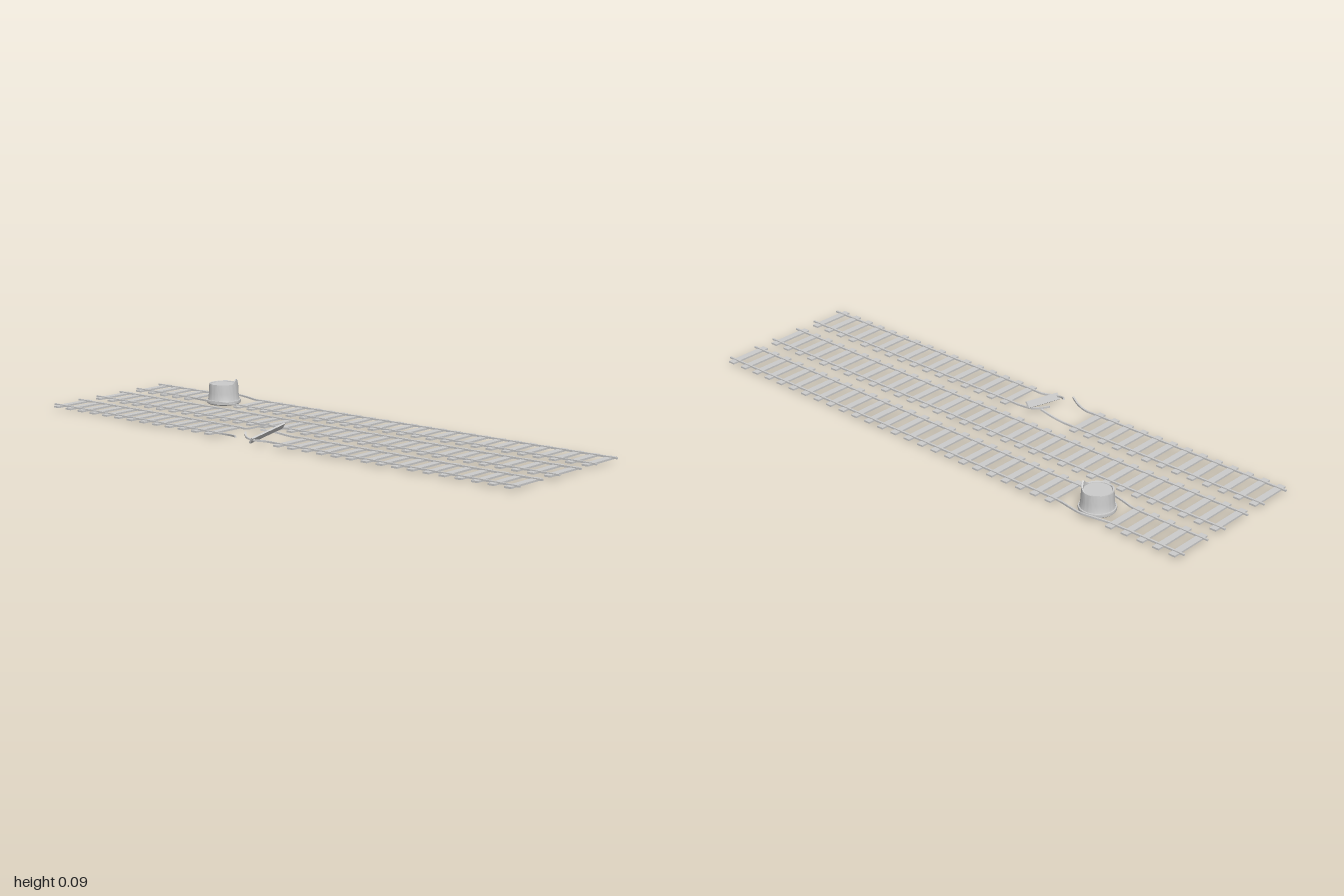
import * as THREE from 'three';
import { toCreasedNormals } from 'three/addons/utils/BufferGeometryUtils.js';

const material = new THREE.MeshStandardMaterial({ color: 0xcccccc });
const GAUGE = 0.0575;      // half the distance between rails
const RAIL_Y = 0.0155;     // height of the rail centre line
const TIE = new THREE.BoxGeometry(0.024, 0.006, 0.161);
const TIES = 33;

function part(name, geometry, parent) {
  const mesh = new THREE.Mesh(geometry, material);
  mesh.name = name;
  parent.add(mesh);
  return mesh;
}

// Rectangular bar swept along a smooth path of [x, y, z] points, kept upright
function railGeometry(points, w = 0.006, h = 0.006) {
  const curve = new THREE.CatmullRomCurve3(points.map(p => new THREE.Vector3(...p)), false, 'centripetal');
  const n = points.length > 2 ? 48 : 1;
  const pos = [], idx = [];
  for (let i = 0; i <= n; i++) {
    const p = curve.getPoint(i / n), t = curve.getTangent(i / n);
    const side = new THREE.Vector3(-t.z, 0, t.x).normalize();
    const up = new THREE.Vector3().crossVectors(side, t).normalize();
    for (const [s, u] of [[-1, -1], [1, -1], [1, 1], [-1, 1]]) {
      const v = p.clone().addScaledVector(side, s * w / 2).addScaledVector(up, u * h / 2);
      pos.push(v.x, v.y, v.z);
    }
    if (i === n) break;
    for (let k = 0; k < 4; k++) {
      const a = i * 4 + k, b = i * 4 + (k + 1) % 4;
      idx.push(a, a + 4, b, b, a + 4, b + 4);
    }
  }
  const e = n * 4;
  idx.push(0, 1, 2, 0, 2, 3, e, e + 2, e + 1, e, e + 3, e + 2);
  const g = new THREE.BufferGeometry();
  g.setAttribute('position', new THREE.Float32BufferAttribute(pos, 3));
  g.setIndex(idx);
  return toCreasedNormals(g, 0.6);
}

// One track: ties (with some left out) and its rails, centred on z
function track(name, z, missing, rails) {
  const group = new THREE.Group();
  group.name = name;
  group.position.z = z;
  for (let i = 0; i < TIES; i++) {
    if (missing.includes(i)) continue;
    part('tie', TIE, group).position.set(-0.97 + i * 1.94 / (TIES - 1), 0.012, 0);
  }
  rails.forEach(points => part('rail', railGeometry(points), group));
  return group;
}

// Height of the broken rim by angle, with a tall splinter on the left side
function rimHeight(a) {
  const peak = (at, before, after, h) => {
    const d = a - at;
    return h * Math.max(0, 1 - (d < 0 ? -d / before : d / after));
  };
  return Math.max(peak(-0.33, 0.25, 0.5, 0.02), peak(-0.9, 0.35, 0.3, 0.006),
    peak(2.2, 0.4, 0.3, 0.003), peak(-2.2, 0.3, 0.4, 0.002));
}

function stump() {
  const group = new THREE.Group();
  group.name = 'stump';
  group.position.set(-0.62, 0, -0.21);
  const lathe = pts => new THREE.LatheGeometry(pts.map(p => new THREE.Vector2(...p)), 64);

  // Flared foot
  part('stumpBase', toCreasedNormals(lathe([
    [0, 0], [0.055, 0], [0.06, 0.004], [0.061, 0.01], [0.06, 0.015], [0.053, 0.016]
  ]), 0.6), group);

  // Tapered trunk with a jagged rim round a flat top
  const trunk = lathe([
    [0.057, 0.013], [0.0545, 0.022], [0.053, 0.04], [0.052, 0.06],
    [0.051, 0.0725], [0.046, 0.0715], [0.0455, 0.069], [0, 0.069]
  ]);
  const p = trunk.attributes.position;
  for (let i = 0; i < p.count; i++) {
    if (p.getY(i) > 0.071) p.setY(i, p.getY(i) + rimHeight(Math.atan2(p.getZ(i), p.getX(i))));
  }
  part('stumpTrunk', toCreasedNormals(trunk, 0.6), group);
  return group;
}

export function createModel() {
  const model = new THREE.Group();
  model.name = 'railwayTracks';
  const Y = RAIL_Y, G = GAUGE;

  // Rear track: rails bow round the stump
  const bowed = [-1, 1].map(s => [
    [-1, Y, s * G], [-0.76, Y, s * G], [-0.71, Y, s * (G + 0.002)], [-0.66, Y + 0.002, s * (G + 0.013)],
    [-0.615, Y + 0.003, s * (G + 0.02)], [-0.57, Y + 0.002, s * (G + 0.013)],
    [-0.52, Y, s * (G + 0.002)], [-0.47, Y, s * G], [1, Y, s * G]
  ]);
  model.add(track('rearTrack', -0.2095, [5, 6, 7], bowed));

  // Middle track: intact
  model.add(track('middleTrack', -0.008, [], [-1, 1].map(s => [[-1, Y, s * G], [1, Y, s * G]])));

  // Front track: broken, with bent rail ends
  const straight = [], bent = [
    [[-0.22, Y, -G], [-0.19, Y, -G], [-0.15, 0.026, -0.066], [-0.103, 0.041, -0.073]],
    [[-0.22, Y, G], [-0.19, Y, G], [-0.145, 0.019, 0.07], [-0.103, 0.024, 0.093]],
    [[0.05, Y, -G], [0.0, Y, -G], [-0.055, 0.021, -0.053], [-0.098, 0.03, -0.022]],
    [[0.05, Y, G], [0.0, Y, G], [-0.045, 0.017, 0.073], [-0.075, 0.022, 0.07], [-0.098, 0.031, 0.05]]
  ];
  for (const s of [-1, 1]) {
    straight.push([[-1, Y, s * G], [-0.22, Y, s * G]], [[0.05, Y, s * G], [1, Y, s * G]]);
  }
  const front = track('frontTrack', 0.1945, [13, 14, 15, 16], [...straight, ...bent]);
  model.add(front);

  // Loose tie thrown up in the gap
  const loose = part('looseTie', TIE, front);
  loose.position.set(-0.048, 0.028, 0);
  loose.rotation.set(0.165, 0, 0.9);

  model.add(stump());
  return model;
}
